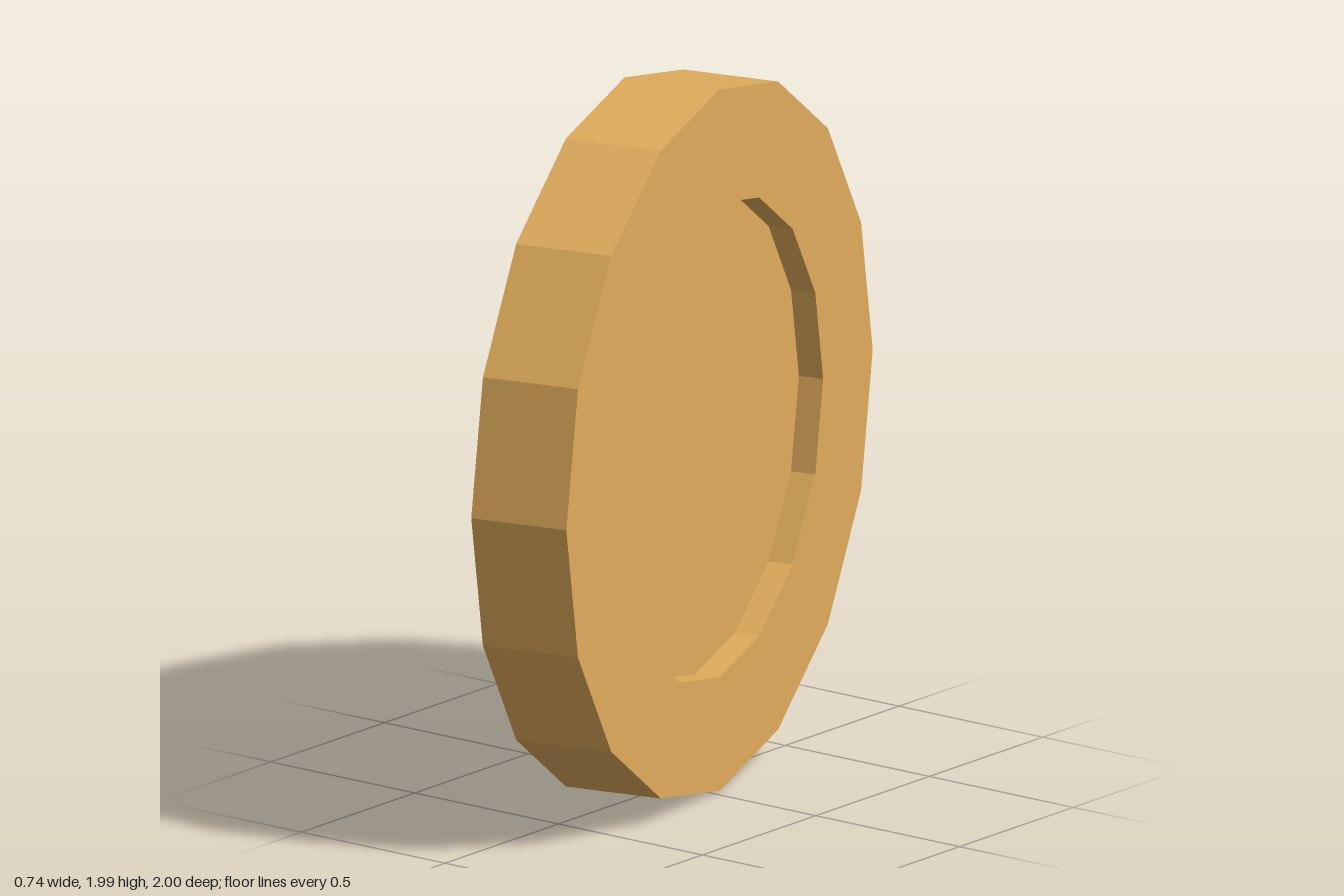
import * as THREE from 'three';

const SIDES = 16;
const RADIUS = 0.995;
const RECESS_RADIUS = 0.673;
const HALF_THICKNESS = 0.143;
const HALF_FLOOR = 0.07; // half thickness inside the recesses

export function createModel() {
  const model = new THREE.Group();
  model.name = 'coin';

  // Half section of the disc, with a raised rim on both faces
  const profile = [
    [0, -HALF_FLOOR],
    [RECESS_RADIUS, -HALF_FLOOR],
    [RECESS_RADIUS, -HALF_THICKNESS],
    [RADIUS, -HALF_THICKNESS],
    [RADIUS, HALF_THICKNESS],
    [RECESS_RADIUS, HALF_THICKNESS],
    [RECESS_RADIUS, HALF_FLOOR],
    [0, HALF_FLOOR],
  ].map(([r, y]) => new THREE.Vector2(r, y));

  const geometry = new THREE.LatheGeometry(profile, SIDES);
  geometry.rotateZ(-Math.PI / 2); // stand on edge, axis along x

  const material = new THREE.MeshStandardMaterial({ color: 0xe0ac5c, flatShading: true });
  const disc = new THREE.Mesh(geometry, material);
  disc.name = 'coinDisc';
  disc.position.y = RADIUS;
  disc.rotation.y = 0.2345; // turned slightly about the vertical
  model.add(disc);

  return model;
}
